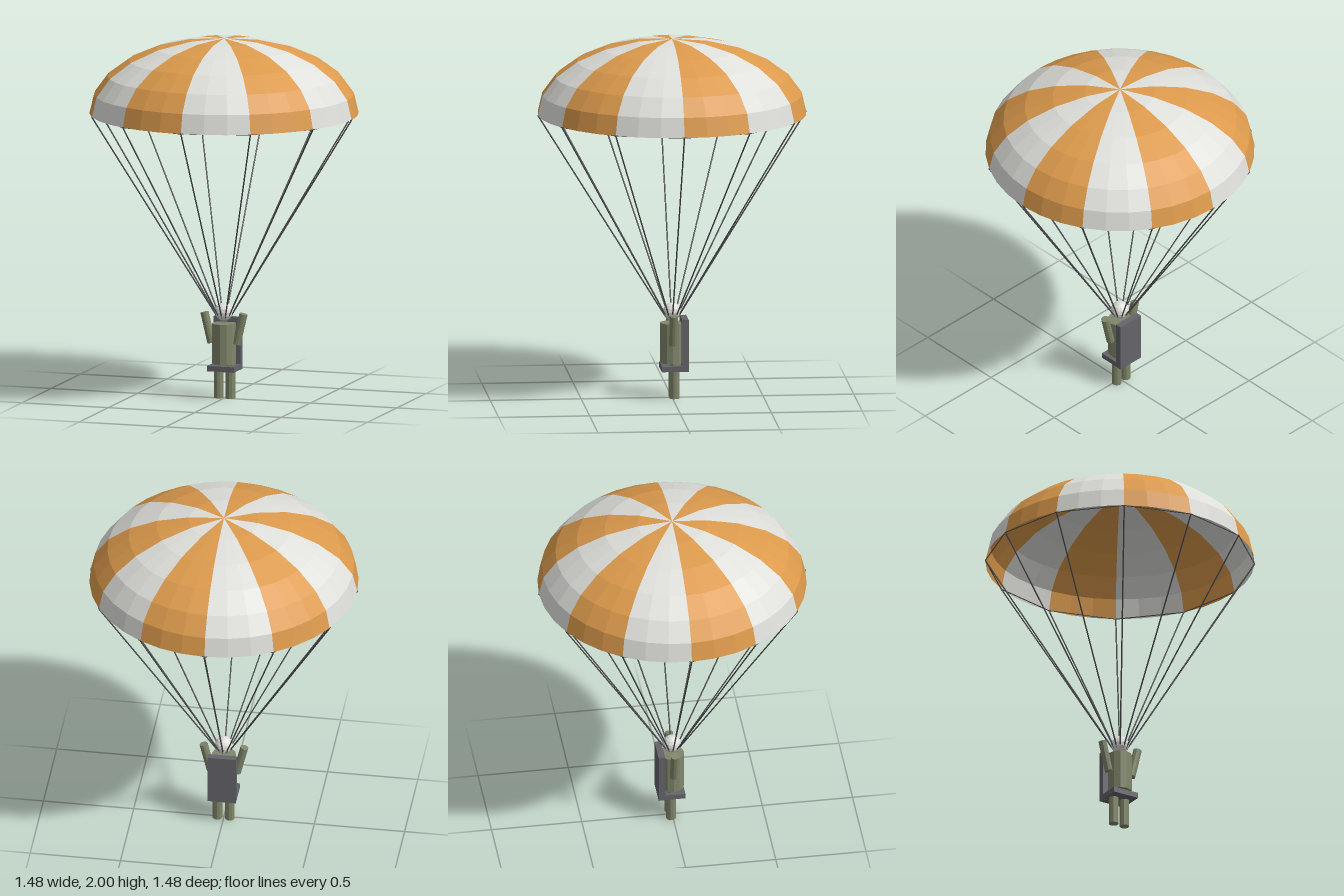
import * as THREE from 'three';

const mat = (name, color, extra = {}) => {
  const m = new THREE.MeshStandardMaterial({ color, flatShading: true, ...extra });
  m.name = name;
  return m;
};

export function createModel() {
  const orange = mat('orange cloth', 0xdc9a4c, { side: THREE.DoubleSide });
  const white = mat('white cloth', 0xdfdfdb, { side: THREE.DoubleSide });
  const olive = mat('olive suit', 0x80866a);
  const grey = mat('grey pack', 0x64646a);
  const cord = mat('dark cord', 0x505052);

  const model = new THREE.Group();
  model.name = 'parachutist';
  const add = (name, geometry, material, parent = model) => {
    const mesh = new THREE.Mesh(geometry, material);
    mesh.name = name;
    parent.add(mesh);
    return mesh;
  };
  // Cylinder running between two points
  const rod = (name, a, b, radius, sides, material, parent) => {
    const dir = b.clone().sub(a);
    const mesh = add(name, new THREE.CylinderGeometry(radius, radius, dir.length(), sides), material, parent);
    mesh.position.copy(a).add(b).multiplyScalar(0.5);
    mesh.quaternion.setFromUnitVectors(new THREE.Vector3(0, 1, 0), dir.normalize());
    return mesh;
  };

  // Canopy: twelve alternating gores of a flattened dome
  const SIDES = 12, R = 0.738, RIM = 1.585, HEIGHT = 0.415;
  const canopy = new THREE.Group();
  canopy.name = 'canopy';
  model.add(canopy);
  const step = (Math.PI * 2) / SIDES;
  for (let i = 0; i < SIDES; i++) {
    // The sphere starts at -x, so a half turn puts gore 0 beside +x
    const gore = new THREE.SphereGeometry(1, 1, 6, 0, step, 0, Math.PI / 2);
    gore.rotateY(Math.PI - (i + 1) * step + step);
    gore.rotateY(-step);
    gore.scale(R, HEIGHT, R);
    gore.translate(0, RIM, 0);
    // Sphere angle grows from -x toward +z, opposite to the gore index
    add('gore', gore, i % 2 ? orange : white, canopy);
  }

  // Hem cord and suspension lines
  const lines = new THREE.Group();
  lines.name = 'suspensionLines';
  model.add(lines);
  const around = (i, r, y) => new THREE.Vector3(Math.cos(i * step) * r, y, Math.sin(i * step) * r);
  for (let i = 0; i < SIDES; i++) {
    rod('hemCord', around(i, R, RIM), around(i + 1, R, RIM), 0.003, 5, cord, lines);
    rod('line', around(i, R, RIM), around(i, 0.035, 0.45), 0.004, 6, cord, lines);
  }

  // Jumper
  add('head', new THREE.SphereGeometry(0.05, 12, 8), white).position.set(0, 0.48, 0);
  add('torso', new THREE.CylinderGeometry(0.067, 0.067, 0.222, 12), olive).position.set(0, 0.306, 0);
  for (const s of [-1, 1]) {
    rod('arm', new THREE.Vector3(s * 0.072, 0.305, 0), new THREE.Vector3(s * 0.113, 0.474, 0), 0.023, 10, olive);
    rod('leg', new THREE.Vector3(s * 0.034, 0, -0.01), new THREE.Vector3(s * 0.034, 0.2, -0.01), 0.027, 10, olive);
  }

  // Harness seat and back pack
  add('seat', new THREE.BoxGeometry(0.156, 0.03, 0.148), grey).position.set(0, 0.17, -0.011);
  add('backPack', new THREE.BoxGeometry(0.156, 0.29, 0.036), grey).position.set(0, 0.299, -0.067);
  return model;
}
